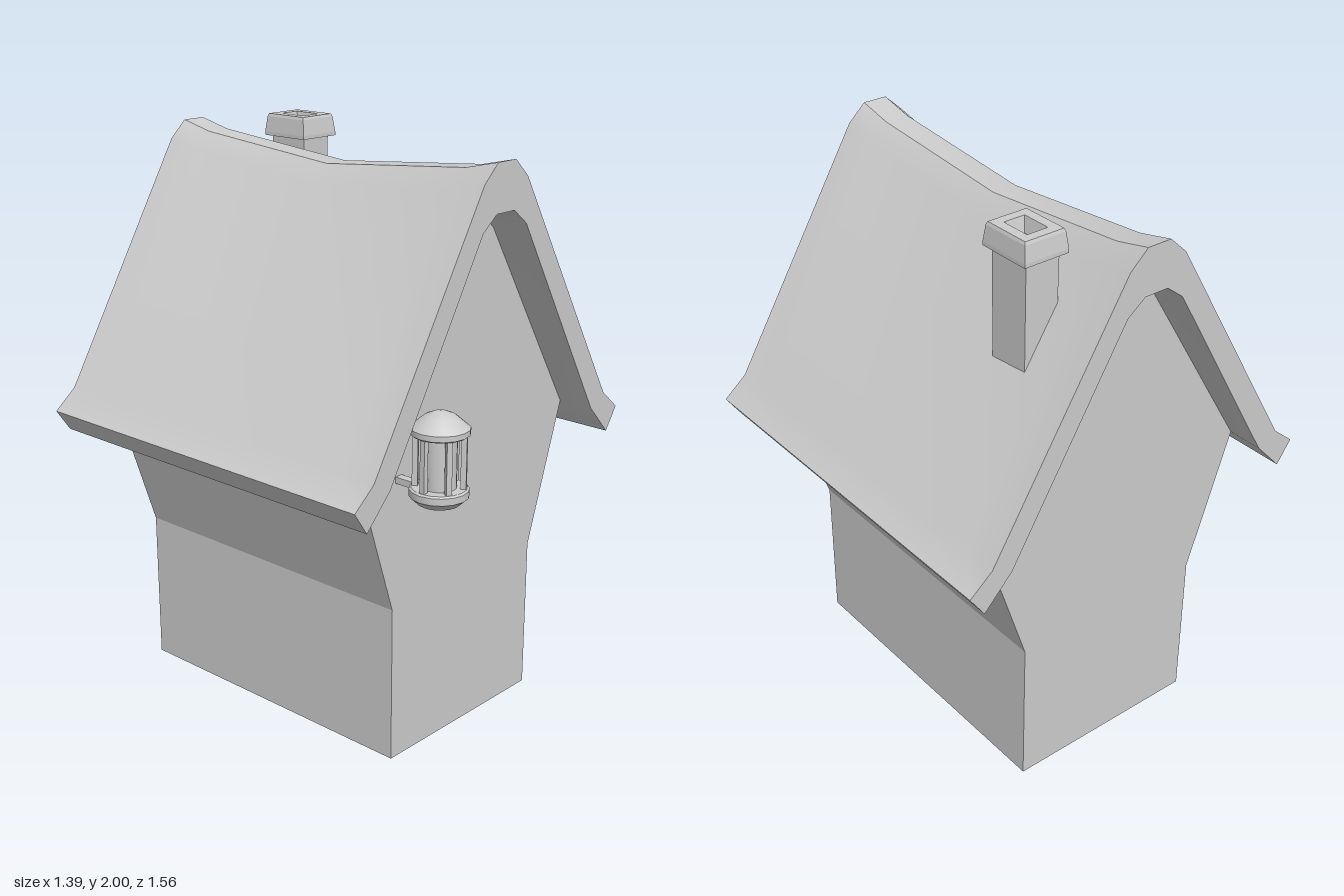
import * as THREE from 'three';
import { toCreasedNormals, mergeGeometries } from 'three/addons/utils/BufferGeometryUtils.js';

const grey = new THREE.MeshStandardMaterial({ color: 0xcccccc });
const greyDouble = new THREE.MeshStandardMaterial({ color: 0xcccccc, side: THREE.DoubleSide });

function named(name, geometry, material = grey) {
  const mesh = new THREE.Mesh(geometry, material);
  mesh.name = name;
  return mesh;
}

// Skin between rings of [x, y, z] points; capQuads adds faces given as corner lists
function loft(rings, { closed = true, capQuads = [], crease = 0.1 } = {}) {
  const pos = [];
  const quad = (a, b, c, d) => [a, b, c, a, c, d].forEach((p) => pos.push(...p));
  for (let k = 0; k < rings.length - 1; k++) {
    const n = rings[k].length;
    for (let i = 0; i < (closed ? n : n - 1); i++) {
      const j = (i + 1) % n;
      quad(rings[k][i], rings[k][j], rings[k + 1][j], rings[k + 1][i]);
    }
  }
  capQuads.forEach((q) => quad(...q));
  const geometry = new THREE.BufferGeometry();
  geometry.setAttribute('position', new THREE.Float32BufferAttribute(pos, 3));
  return toCreasedNormals(geometry, crease);
}

// Right half from eave to ridge, mirrored into a full right-to-left profile
const mirrored = (half) => [...half, ...[...half].reverse().map(([x, y]) => [-x, y])];

function createHouse() {
  const house = new THREE.Group();
  house.name = 'house';
  const profile = mirrored([[0.37, 0], [0.37, 0.55], [0.535, 1.05], [0.11, 1.77], [0.045, 1.8]]);
  const front = 0.52, back = -0.65;

  // Side walls, open at the bottom
  const rings = [back, front].map((z) => profile.map(([x, y]) => [x, y, z]));
  house.add(named('sideWalls', loft(rings, { closed: false }), greyDouble));

  // Gable walls
  const gable = new THREE.ShapeGeometry(new THREE.Shape(profile.map((p) => new THREE.Vector2(...p))));
  const frontWall = named('frontWall', gable, greyDouble);
  frontWall.position.z = front;
  const backWall = named('backWall', gable, greyDouble);
  backWall.rotation.y = Math.PI;
  backWall.position.z = back;
  house.add(frontWall, backWall);
  return house;
}

function createRoof() {
  const outer = mirrored([[0.695, 1.02], [0.61, 1.09], [0.11, 1.92], [0.045, 1.98]]);
  const inner = mirrored([[0.64, 0.94], [0.535, 1.05], [0.11, 1.77], [0.045, 1.82]]);
  const profile = [...outer, ...inner.reverse()];

  // The ridge sags in the middle while the eaves stay level
  const stations = [[-0.78, 0], [-0.65, 0.03], [-0.07, 0.082], [0.52, 0.03], [0.65, 0]];
  const rings = stations.map(([z, sag]) =>
    profile.map(([x, y]) => [x, y > 1.5 ? y - sag : y, z]));

  // Thick end faces
  const capQuads = [];
  const first = rings[0], last = rings[rings.length - 1];
  for (let i = 0; i < outer.length - 1; i++) {
    const ids = [i, i + 1, 14 - i, 15 - i];
    capQuads.push(ids.map((k) => last[k]), ids.map((k) => first[k]).reverse());
  }
  return named('roof', loft(rings, { capQuads, crease: 0.6 }));
}

function createChimney() {
  const chimney = new THREE.Group();
  chimney.name = 'chimney';
  const rect = ([y, w, d]) => [[w, y, d], [w, y, -d], [-w, y, -d], [-w, y, d]];
  // Rows are height, half width, half depth
  const shaft = [[1.3, 0.06, 0.076], [1.93, 0.063, 0.079]];
  const cap = [
    [1.922, 0.06, 0.076], [1.922, 0.083, 0.098], [1.935, 0.083, 0.098], [1.99, 0.077, 0.09],
    [2.0, 0.073, 0.086], [2.0, 0.039, 0.053], [1.95, 0.028, 0.04], [1.95, 0, 0],
  ];
  chimney.add(named('chimneyShaft', loft([shaft[0], shaft[1]].map(rect))));
  chimney.add(named('chimneyCap', loft(cap.map(rect))));
  chimney.position.set(0.25, 0, -0.48);
  return chimney;
}

function createLantern() {
  const lantern = new THREE.Group();
  lantern.name = 'lantern';
  const lathe = (points) => toCreasedNormals(
    new THREE.LatheGeometry(points.map((p) => new THREE.Vector2(...p)), 16), 0.5);

  lantern.add(named('lanternBase', lathe([
    [0, 0.965], [0.068, 0.965], [0.092, 0.988], [0.095, 0.99], [0.095, 1.013], [0.088, 1.018], [0, 1.018],
  ])));
  lantern.add(named('lanternGlass', lathe([[0.055, 1.01], [0.055, 1.2]])));
  lantern.add(named('lanternLid', lathe([
    [0, 1.19], [0.088, 1.19], [0.095, 1.195], [0.095, 1.213], [0.085, 1.22], [0.05, 1.25], [0.02, 1.263], [0, 1.267],
  ])));

  // Posts around the glass
  const posts = [];
  for (let i = 0; i < 6; i++) {
    posts.push(new THREE.BoxGeometry(0.018, 0.185, 0.018)
      .translate(0.076, 1.104, 0).rotateY(i * Math.PI / 3));
  }
  lantern.add(named('lanternPosts', mergeGeometries(posts)));

  // Arms fixing the lantern to the wall
  for (const y of [1.0, 1.2]) {
    const arm = named('lanternArm', new THREE.BoxGeometry(0.03, 0.022, 0.13));
    arm.position.set(0, y, -0.125);
    lantern.add(arm);
  }
  lantern.position.set(-0.345, 0, 0.685);
  return lantern;
}

export function createModel() {
  const model = new THREE.Group();
  model.name = 'cottage';
  model.add(createHouse(), createRoof(), createChimney(), createLantern());
  return model;
}
